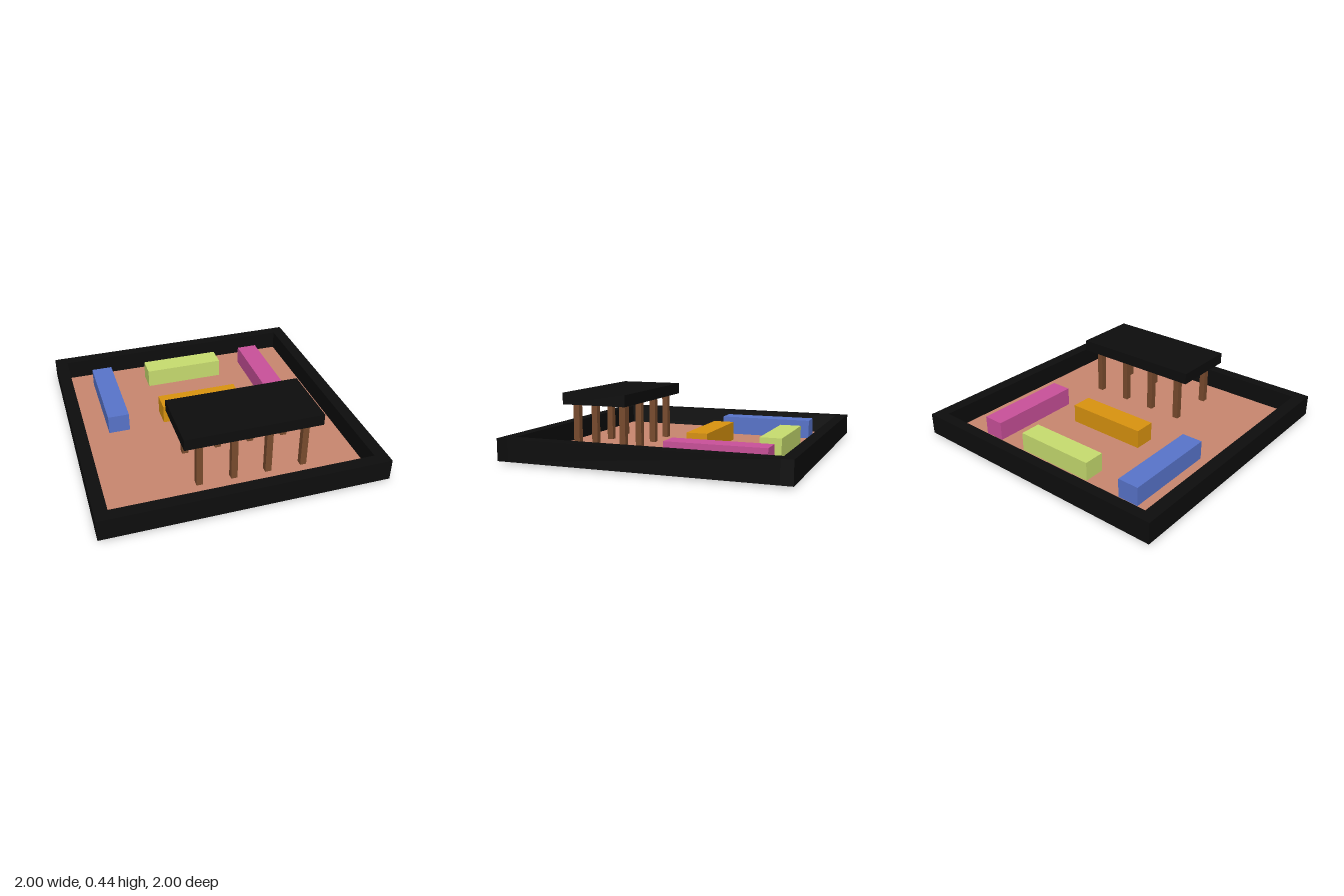
import * as THREE from 'three';

const mat = (color) => new THREE.MeshStandardMaterial({ color });

export function createModel() {
  const model = new THREE.Group();
  const black = mat(0x0d0d0d);
  const wood = mat(0x7a4c2e);

  // Box given by its extents on each axis
  function block(name, material, [x0, x1], [y0, y1], [z0, z1], parent = model) {
    const mesh = new THREE.Mesh(new THREE.BoxGeometry(x1 - x0, y1 - y0, z1 - z0), material);
    mesh.position.set((x0 + x1) / 2, (y0 + y1) / 2, (z0 + z1) / 2);
    mesh.name = name;
    parent.add(mesh);
  }

  // Ground slab
  block('floor', mat(0xca8870), [-0.91, 0.91], [0.012, 0.022], [-0.92, 0.915]);

  // Perimeter wall
  const wall = new THREE.Group();
  wall.name = 'perimeterWall';
  model.add(wall);
  const wallY = [0.012, 0.167];
  block('backWall', black, [-1, 1], wallY, [-1, -0.92], wall);
  block('frontWall', black, [-1, 1], wallY, [0.915, 1], wall);
  block('rightWall', black, [-1, -0.91], wallY, [-0.92, 0.915], wall);
  block('leftWall', black, [0.91, 1], wallY, [-0.92, 0.915], wall);

  // Coloured long blocks
  const blockY = [0.008, 0.16];
  block('blueBlock', mat(0x5975cc), [-0.73, -0.575], blockY, [-0.765, -0.06]);
  block('pinkBlock', mat(0xcb519b), [0.52, 0.675], blockY, [-0.765, -0.06]);
  block('greenBlock', mat(0xc9de70), [-0.3, 0.3], blockY, [-0.76, -0.605]);
  block('orangeBlock', mat(0xdb940f), [-0.31, 0.295], blockY, [-0.23, -0.075]);

  // Shelter: flat roof on two rows of posts
  const shelter = new THREE.Group();
  shelter.name = 'shelter';
  model.add(shelter);
  block('roof', black, [-0.37, 0.605], [0.36, 0.442], [0.25, 0.73], shelter);
  const half = 0.0225;
  for (const x of [-0.257, -0.012, 0.235, 0.495]) {
    for (const z of [0.315, 0.675]) {
      block('post', wood, [x - half, x + half], [0, 0.37], [z - half, z + half], shelter);
    }
  }

  return model;
}
